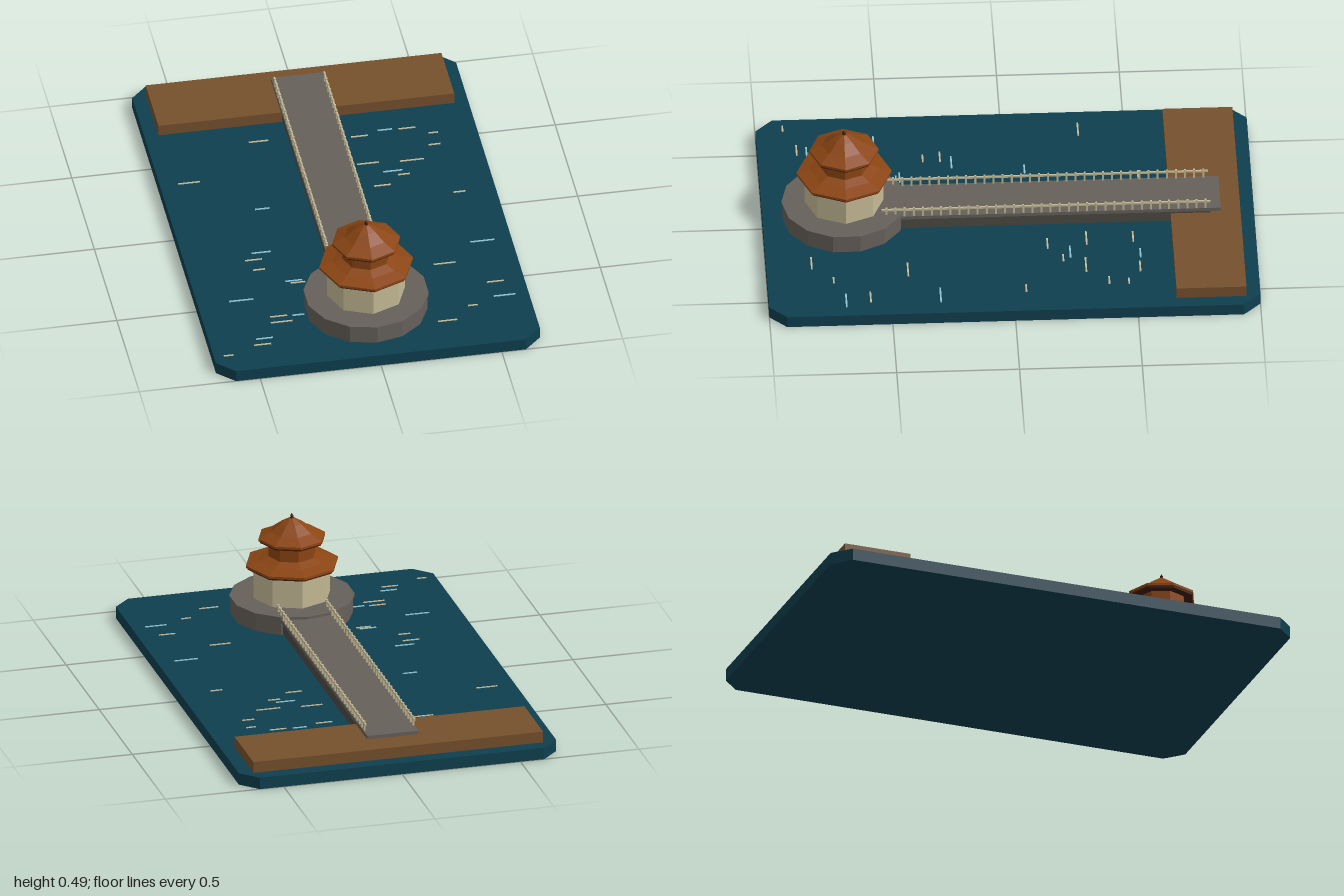
import * as THREE from 'three';

const mat = (name, color) => {
  const m = new THREE.MeshStandardMaterial({ color });
  m.name = name;
  return m;
};

export function createModel() {
  const water = mat('water', 0x0f3f4f), earth = mat('earth', 0x75502c);
  const stone = mat('stone', 0x66605a), darkStone = mat('dark stone', 0x4c4942);
  const plaster = mat('plaster', 0xc4b995), roofTile = mat('roof tile', 0x8b4513);
  const eaveWood = mat('eave wood', 0x3f1a0c), glint = mat('blue glint', 0x8fc4d0);
  const model = new THREE.Group();
  model.name = 'lakePavilion';

  const add = (parent, name, geometry, material, x = 0, y = 0, z = 0) => {
    const mesh = new THREE.Mesh(geometry, material);
    mesh.name = name;
    mesh.position.set(x, y, z);
    parent.add(mesh);
    return mesh;
  };
  // box given by its bottom height
  const box = (parent, name, material, w, h, d, x, y, z) =>
    add(parent, name, new THREE.BoxGeometry(w, h, d), material, x, y + h / 2, z);
  // faceted solid of revolution from [radius, height] pairs, bottom to top
  const turned = (parent, name, material, sides, profile) => {
    const lathe = new THREE.LatheGeometry(profile.map(p => new THREE.Vector2(...p)), sides);
    const geometry = lathe.toNonIndexed();
    geometry.computeVertexNormals();
    return add(parent, name, geometry, material);
  };
  const prism = (parent, name, material, sides, r, y0, y1) =>
    turned(parent, name, material, sides, [[0, y0], [r, y0], [r, y1], [0, y1]]);

  // water slab with cut corners
  const W = 0.67, L = 1, C = 0.07;
  const outline = new THREE.Shape([
    [-W + C, -L], [W - C, -L], [W, -L + C], [W, L - C],
    [W - C, L], [-W + C, L], [-W, L - C], [-W, -L + C],
  ].map(p => new THREE.Vector2(...p)));
  const slab = new THREE.ExtrudeGeometry(outline, { depth: 0.05, bevelEnabled: false });
  slab.rotateX(-Math.PI / 2);
  add(model, 'waterSlab', slab, water);

  // shore
  box(model, 'shore', earth, 1.224, 0.047, 0.285, 0, 0.05, -0.8);

  // causeway with railings
  const causeway = new THREE.Group();
  causeway.name = 'causeway';
  model.add(causeway);
  box(causeway, 'causewayBody', darkStone, 0.2, 0.05, 1.32, 0, 0.06, -0.16);
  box(causeway, 'deck', stone, 0.216, 0.015, 1.37, 0, 0.11, -0.177);
  const posts = 36;
  for (const side of [-1, 1]) {
    const x = side * 0.103;
    box(causeway, 'handrail', plaster, 0.007, 0.008, 1.34, x, 0.152, -0.15);
    for (let i = 0; i < posts; i++) {
      const z = 0.5 - (1.3 * i) / (posts - 1);
      box(causeway, 'railPost', plaster, 0.008, 0.043, 0.008, x, 0.123, z);
    }
  }

  // pavilion on its round terrace
  const pavilion = new THREE.Group();
  pavilion.name = 'pavilion';
  pavilion.position.z = 0.668;
  model.add(pavilion);
  prism(pavilion, 'terraceBase', stone, 14, 0.25, 0.055, 0.12);
  prism(pavilion, 'terraceCap', stone, 14, 0.255, 0.12, 0.135);
  prism(pavilion, 'lowerWalls', plaster, 8, 0.161, 0.135, 0.266);
  prism(pavilion, 'lowerEave', eaveWood, 8, 0.187, 0.263, 0.275);
  turned(pavilion, 'lowerRoof', roofTile, 8,
    [[0, 0.271], [0.194, 0.271], [0.194, 0.281], [0.14, 0.296], [0.1, 0.312], [0, 0.312]]);
  prism(pavilion, 'upperWalls', roofTile, 8, 0.099, 0.31, 0.38);
  prism(pavilion, 'upperEave', eaveWood, 8, 0.135, 0.375, 0.387);
  turned(pavilion, 'upperRoof', roofTile, 8,
    [[0, 0.383], [0.141, 0.383], [0.141, 0.393], [0.09, 0.417], [0.045, 0.451], [0.012, 0.471], [0, 0.471]]);
  turned(pavilion, 'finial', eaveWood, 8,
    [[0, 0.465], [0.009, 0.468], [0.006, 0.477], [0.007, 0.481], [0, 0.492]]);

  // ripples on the water: x, z, length
  const ripples = (name, material, list) => list.forEach(([x, z, w]) =>
    box(model, name, material, w, 0.003, 0.007, x, 0.05, z));
  ripples('paleRipple', plaster, [
    [-0.22, -0.54, 0.08], [-0.55, -0.31, 0.09], [0.19, -0.5, 0.07], [0.39, -0.52, 0.07],
    [0.49, -0.47, 0.04], [0.48, -0.39, 0.05], [0.19, -0.31, 0.09], [0.37, -0.3, 0.1],
    [0.32, -0.21, 0.05], [0.22, -0.15, 0.07], [0.52, -0.05, 0.05], [-0.39, 0.26, 0.07],
    [-0.38, 0.33, 0.05], [-0.24, 0.445, 0.06], [-0.36, 0.66, 0.07], [-0.355, 0.7, 0.09],
    [-0.46, 0.84, 0.07], [-0.61, 0.89, 0.04], [0.37, 0.425, 0.09], [0.55, 0.585, 0.07],
    [0.43, 0.73, 0.04], [0.31, 0.815, 0.08],
  ]);
  ripples('blueRipple', glint, [
    [-0.29, -0.08, 0.06], [0.3, -0.525, 0.06], [0.28, -0.24, 0.08], [-0.35, 0.215, 0.08],
    [-0.49, 0.525, 0.1], [-0.255, 0.43, 0.07], [-0.28, 0.665, 0.05], [-0.445, 0.8, 0.07],
    [0.55, 0.3, 0.1], [0.57, 0.685, 0.09],
  ]);

  return model;
}
